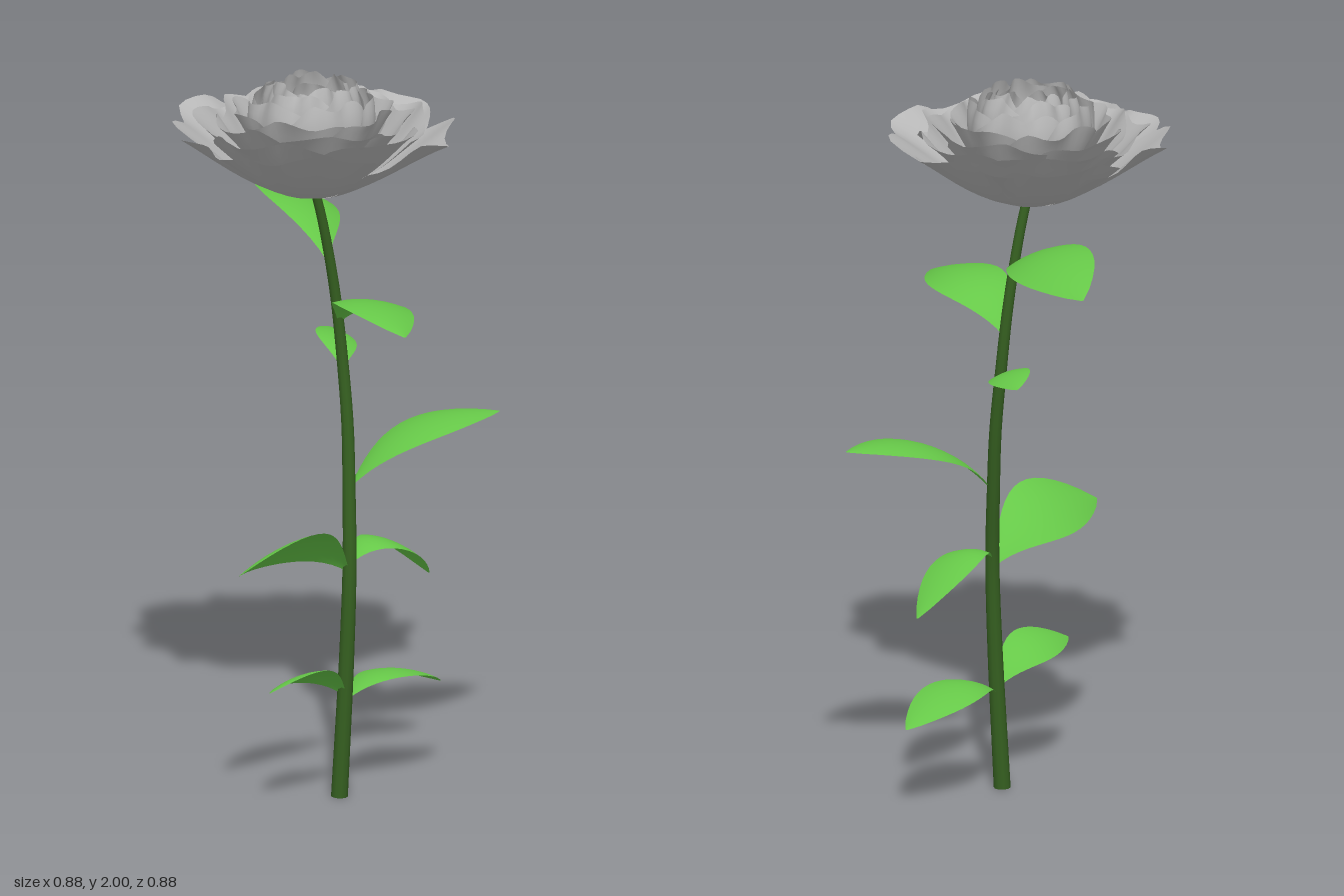
import * as THREE from 'three';

const V = (x, y, z = 0) => new THREE.Vector3(x, y, z);
const mat = (name, color, side = THREE.DoubleSide) => {
  const m = new THREE.MeshStandardMaterial({ color, side });
  m.name = name;
  return m;
};

// Smooth surface from a rule: fn(u, v) -> Vector3, u and v in 0..1
function surface(nu, nv, fn) {
  const geo = new THREE.PlaneGeometry(1, 1, nu, nv);
  const pos = geo.attributes.position;
  for (let j = 0; j <= nv; j++) {
    for (let i = 0; i <= nu; i++) {
      const p = fn(i / nu, j / nv);
      pos.setXYZ(j * (nu + 1) + i, p.x, p.y, p.z);
    }
  }
  geo.computeVertexNormals();
  return geo;
}

// Petal wrapped round the flower axis, following a (radius, height) profile
function petal(angle, half, profile, wave, phase) {
  const curve = new THREE.CubicBezierCurve3(...profile.map(([r, y]) => V(r, y)));
  return surface(18, 10, (s, t) => {
    const u = s * 2 - 1;
    const edge = 1 - 0.2 * Math.abs(u) ** 3 + wave * 1.2 * Math.sin(u * 7 + phase);
    const v = Math.min(t * edge, 1);
    const p = curve.getPoint(v);
    const r = p.x + u * 0.012 * v + wave * 0.45 * v ** 3 * Math.cos(u * 8 + phase);
    const y = p.y + wave * 0.4 * v ** 3 * Math.sin(u * 6 + phase * 2);
    const a = angle + u * half;
    return V(r * Math.cos(a), y, r * Math.sin(a));
  });
}

// Arched leaf from base to tip; roll lowers its right-hand edge
function leaf({ base, tip, peak, half, roll }) {
  const b = V(...base), e = V(...tip);
  const mid = b.clone().lerp(e, 0.35).setY(peak);
  const spine = new THREE.QuadraticBezierCurve3(b, mid, e);
  const flat = V(e.x - b.x, 0, e.z - b.z).normalize();
  const side = flat.cross(V(0, 1, 0)).multiplyScalar(Math.cos(roll));
  side.y = -Math.sin(roll);
  return surface(8, 16, (s, t) => {
    const u = s * 2 - 1;
    const w = 0.003 + half * Math.max(0, Math.sin(Math.PI * t ** 1.3)) ** 0.85;
    const p = spine.getPoint(t).addScaledVector(side, u * w);
    p.y -= 0.15 * u * u * w;
    return p;
  });
}

export function createModel() {
  const model = new THREE.Group();
  const petalGrey = mat('petal grey', 0xb8b8b8);
  const leafGreen = mat('leaf green', 0x66c848);
  const stemGreen = mat('stem green', 0x355f20);
  const stamenGrey = mat('stamen dark grey', 0x4c4c4c, THREE.FrontSide);
  const add = (parent, name, geo, material) => {
    const m = new THREE.Mesh(geo, material);
    m.name = name;
    parent.add(m);
    return m;
  };

  // Curved, tapering stem
  const path = new THREE.CatmullRomCurve3([
    V(-0.015, 0, 0.1), V(0, 0.4, 0.113), V(0.012, 0.65, 0.112), V(0.033, 0.85, 0.09),
    V(0.05, 1.03, 0.068), V(0.055, 1.2, 0.045), V(0.04, 1.4, 0.03),
    V(0.003, 1.6, 0.02), V(-0.028, 1.72, 0.012),
  ]);
  const rings = 40, sides = 10;
  const stem = new THREE.TubeGeometry(path, rings, 0.023, sides);
  const pos = stem.attributes.position;
  for (let i = 0; i <= rings; i++) {
    const c = path.getPointAt(i / rings);
    for (let j = 0; j <= sides; j++) {
      const k = i * (sides + 1) + j;
      const p = V(0, 0).fromBufferAttribute(pos, k).sub(c).multiplyScalar(1 - 0.45 * i / rings).add(c);
      pos.setXYZ(k, p.x, Math.max(p.y, 0), p.z);
    }
  }
  add(model, 'stem', stem, stemGreen);
  const cut = add(model, 'stemCutEnd', new THREE.CircleGeometry(0.023, sides), stemGreen);
  cut.rotation.x = Math.PI / 2;
  cut.position.set(-0.015, 0.001, 0.1);

  // Leaves, from the top of the stem down
  const leaves = [
    { base: [0.02, 1.49, 0.02], tip: [0.275, 1.56, -0.44], peak: 1.68, half: 0.11, roll: 0.3 },
    { base: [0.05, 1.31, 0.035], tip: [-0.11, 1.38, 0.435], peak: 1.5, half: 0.1, roll: -0.15 },
    { base: [0.055, 1.18, 0.045], tip: [0.205, 1.23, -0.145], peak: 1.27, half: 0.055, roll: 0.3 },
    { base: [0.04, 0.86, 0.09], tip: [0.44, 1.025, 0.265], peak: 1.07, half: 0.1, roll: 0 },
    { base: [0.01, 0.63, 0.11], tip: [-0.44, 0.715, 0.13], peak: 0.83, half: 0.1, roll: 0.62 },
    { base: [0.015, 0.65, 0.11], tip: [0.33, 0.56, 0.105], peak: 0.785, half: 0.07, roll: 0.1 },
    { base: [0, 0.28, 0.11], tip: [-0.31, 0.355, 0.12], peak: 0.43, half: 0.065, roll: 0.45 },
    { base: [0, 0.27, 0.11], tip: [0.365, 0.25, 0.115], peak: 0.39, half: 0.08, roll: -0.1 },
  ];
  leaves.forEach((l, i) => add(model, `leaf${i + 1}`, leaf(l), leafGreen));

  // Flower head
  const flower = new THREE.Group();
  flower.name = 'flower';
  flower.position.set(-0.022, 0, 0.005);
  model.add(flower);

  // Outer petals: [angle in degrees, half width in degrees, reach]
  const outer = [[-108, 40, 0.385], [-60, 36, 0.355], [-8, 40, 0.375],
    [66, 44, 0.39], [138, 36, 0.365], [190, 34, 0.365]];
  outer.forEach(([a, w, r], i) => {
    const profile = [[0.005, 1.675], [0.15, 1.685], [0.27, 1.8], [r, 1.88 - 0.01 * (i % 2)]];
    add(flower, 'outerPetal', petal(THREE.MathUtils.degToRad(a), THREE.MathUtils.degToRad(w),
      profile, 0.035, i * 1.9), petalGrey);
  });

  // Inner rings: petal count, half width, start angle, ruffle and profile
  const layers = [
    ['openPetal', 5, 0.85, 0.3, 0.03, [[0.005, 1.69], [0.16, 1.7], [0.24, 1.83], [0.315, 1.895]]],
    ['openPetal', 5, 0.85, 0.9, 0.028, [[0.005, 1.7], [0.15, 1.71], [0.21, 1.85], [0.268, 1.91]]],
    ['openPetal', 5, 0.85, 0.1, 0.025, [[0.005, 1.715], [0.14, 1.72], [0.18, 1.87], [0.215, 1.93]]],
    ['cupPetal', 5, 0.85, 0.7, 0.02, [[0.005, 1.73], [0.17, 1.74], [0.185, 1.88], [0.155, 1.965]]],
    ['cupPetal', 5, 0.85, 0.2, 0.02, [[0.005, 1.75], [0.14, 1.76], [0.155, 1.91], [0.115, 1.99]]],
    ['heartPetal', 4, 1.0, 0.5, 0.018, [[0.005, 1.77], [0.11, 1.78], [0.12, 1.92], [0.085, 1.997]]],
    ['heartPetal', 3, 1.25, 1.1, 0.015, [[0.005, 1.8], [0.08, 1.81], [0.09, 1.91], [0.06, 1.975]]],
  ];
  layers.forEach(([name, n, half, start, wave, profile], k) => {
    for (let i = 0; i < n; i++) {
      add(flower, name, petal(start + i * 2 * Math.PI / n, half, profile, wave, i * 2.3 + k), petalGrey);
    }
  });

  // Stamens fanned out in a sunflower spiral
  for (let i = 0; i < 22; i++) {
    const a = i * 2.4, r = 0.009 * Math.sqrt(i + 0.5);
    const stamen = add(flower, 'stamen', new THREE.CylinderGeometry(0.002, 0.0012, 0.08, 5), stamenGrey);
    stamen.position.set(r * Math.cos(a), 1.86, r * Math.sin(a));
    stamen.rotation.set(0.2 * Math.sin(a), 0, -0.2 * Math.cos(a));
  }
  return model;
}
